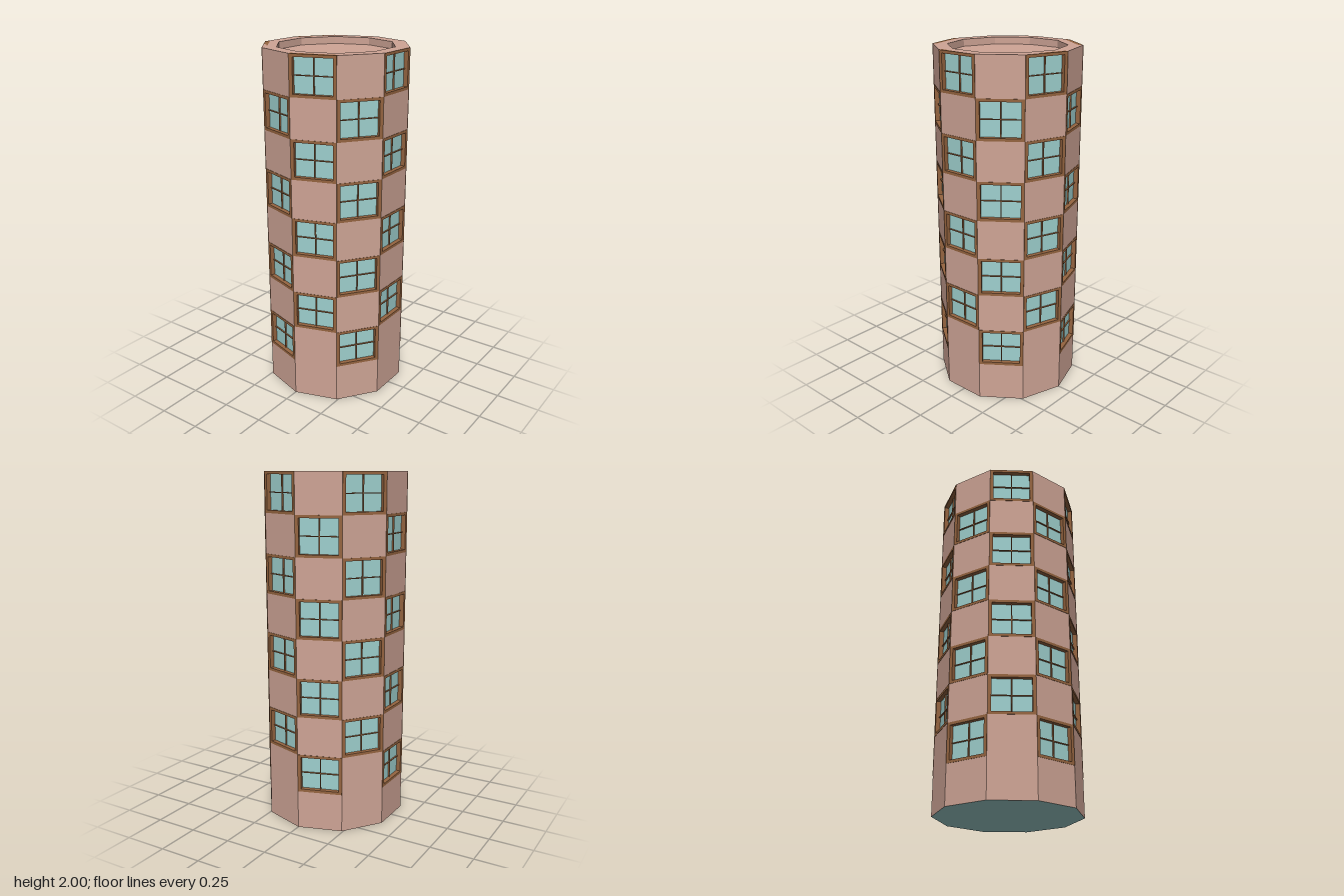
import * as THREE from 'three';

const SIDES = 10, ROWS = 9, HEIGHT = 2;
const R = 0.413;                                  // corner radius
const STEP = Math.PI * 2 / SIDES;
const APOTHEM = R * Math.cos(STEP / 2);
const CELL_W = 2 * R * Math.sin(STEP / 2);
const CELL_H = HEIGHT / ROWS;
const RECESS = 0.024, PROUD = 0.002;              // glass depth, frame projection
const RIM_R = 0.333, ROOF_DEPTH = 0.04;
const OPEN_W = CELL_W - 0.039, OPEN_H = CELL_H - 0.032;

const mat = (color, side = THREE.FrontSide) =>
  new THREE.MeshStandardMaterial({ color, side, flatShading: true });

function mesh(name, geometry, material, x = 0, y = 0, z = 0) {
  const m = new THREE.Mesh(geometry, material);
  m.name = name;
  m.position.set(x, y, z);
  return m;
}

// closed outline of corners, starting on the front axis
function polygon(radius) {
  return Array.from({ length: SIDES }, (_, i) =>
    new THREE.Vector2(radius * Math.sin(i * STEP), radius * Math.cos(i * STEP)));
}

function rectangle(PathType, w, h) {
  return new PathType([
    new THREE.Vector2(-w / 2, -h / 2), new THREE.Vector2(w / 2, -h / 2),
    new THREE.Vector2(w / 2, h / 2), new THREE.Vector2(-w / 2, h / 2),
  ]);
}

export function createModel() {
  const tower = new THREE.Group();
  tower.name = 'tower';

  const wall = mat(0xcfa596);
  const wood = mat(0x966540);
  const glass = mat(0x9fd1cf);

  // glazed core seen through every window opening
  const coreR = (APOTHEM - RECESS) / Math.cos(STEP / 2);
  tower.add(mesh('glassCore',
    new THREE.CylinderGeometry(coreR, coreR, HEIGHT - 0.002, SIDES, 1, true), glass, 0, HEIGHT / 2, 0));

  // underside
  const base = mesh('base', new THREE.ShapeGeometry(new THREE.Shape(polygon(R))), glass);
  base.rotation.x = Math.PI / 2;
  tower.add(base);

  // roof rim, parapet inside and sunken roof floor
  const rimShape = new THREE.Shape(polygon(R));
  rimShape.holes.push(new THREE.Path(polygon(RIM_R)));
  const rim = mesh('roofRim', new THREE.ShapeGeometry(rimShape), wall, 0, HEIGHT, 0);
  rim.rotation.x = -Math.PI / 2;
  const floor = mesh('roofFloor', new THREE.ShapeGeometry(new THREE.Shape(polygon(RIM_R))),
    wall, 0, HEIGHT - ROOF_DEPTH, 0);
  floor.rotation.x = -Math.PI / 2;
  const parapet = mesh('parapet',
    new THREE.CylinderGeometry(RIM_R, RIM_R, ROOF_DEPTH, SIDES, 1, true),
    mat(0xcfa596, THREE.BackSide), 0, HEIGHT - ROOF_DEPTH / 2, 0);
  tower.add(rim, floor, parapet);

  // shared geometry for the cells
  const panelGeo = new THREE.PlaneGeometry(CELL_W, CELL_H);
  const frameShape = rectangle(THREE.Shape, CELL_W, CELL_H);
  frameShape.holes.push(rectangle(THREE.Path, OPEN_W, OPEN_H));
  const frameGeo = new THREE.ExtrudeGeometry(frameShape, { depth: RECESS + PROUD, bevelEnabled: false });
  const uprightGeo = new THREE.BoxGeometry(0.006, OPEN_H, 0.008);
  const crossbarGeo = new THREE.BoxGeometry(OPEN_W, 0.005, 0.008);

  function createWindow() {
    const win = new THREE.Group();
    win.name = 'window';
    win.add(
      mesh('windowFrame', frameGeo, wood, 0, 0, -RECESS),
      mesh('windowUpright', uprightGeo, wood, 0, 0, 0.004 - RECESS),
      mesh('windowCrossbar', crossbarGeo, wood, 0, 0, 0.004 - RECESS));
    return win;
  }

  // faces: windows and plain panels alternate in a checker above the ground row
  for (let k = 0; k < SIDES; k++) {
    const face = new THREE.Group();
    face.name = 'face';
    face.rotation.y = (k + 0.5) * STEP;
    for (let row = 0; row < ROWS; row++) {
      const glazed = row > 0 && (row + k) % 2 === 0;
      const cell = glazed ? createWindow() : mesh('wallPanel', panelGeo, wall);
      cell.position.set(0, (row + 0.5) * CELL_H, APOTHEM);
      face.add(cell);
    }
    tower.add(face);
  }
  return tower;
}
